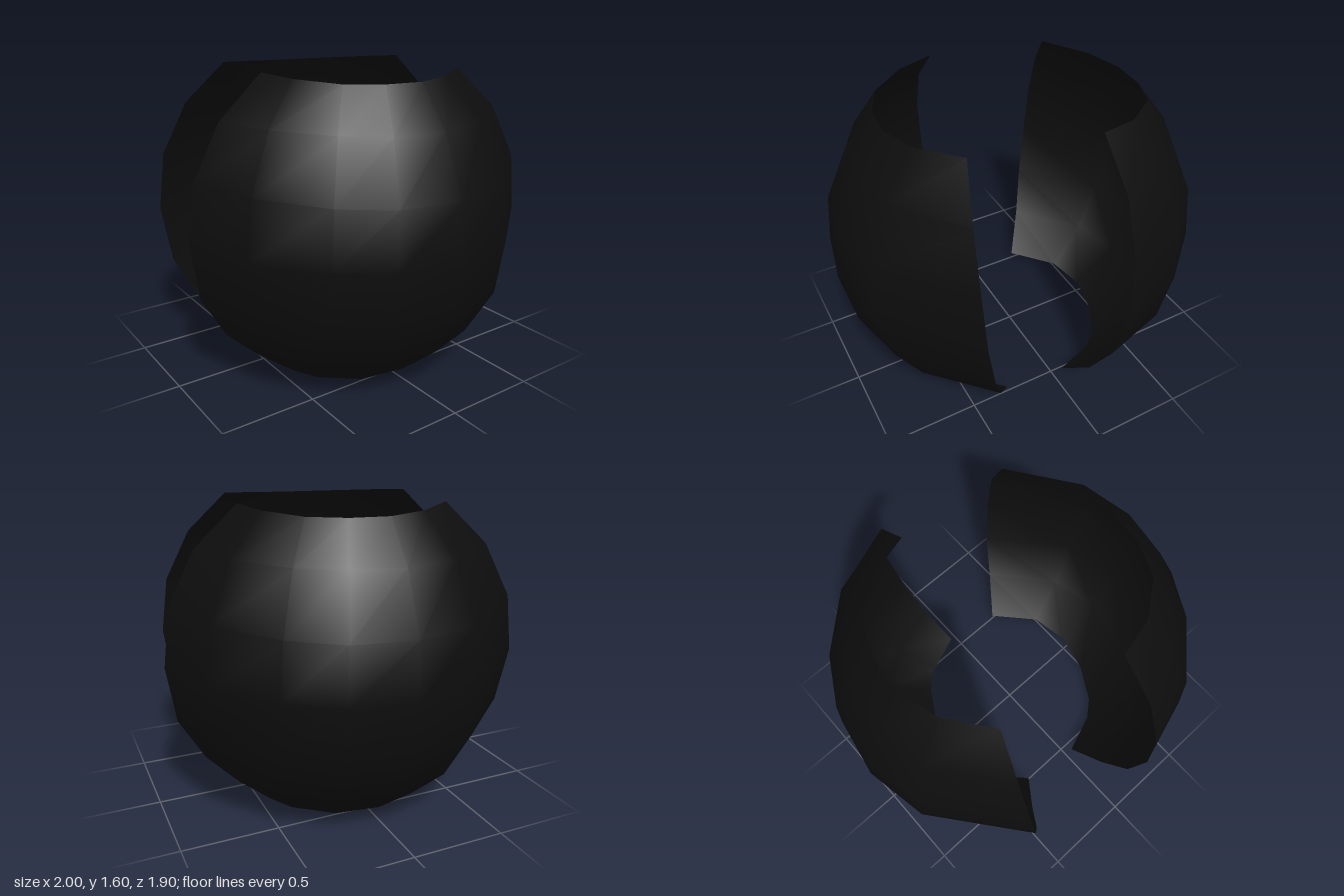
import * as THREE from 'three';

// Columns run from the front edge to the back edge of one panel.
// Angles are degrees from +x towards +z.
const EQUATOR = { angle: [82.1, 59.1, 36.3, 19.3, 0, -20.5, -55.7], radius: [0.957, 0.973, 0.98, 0.996, 1, 0.998, 0.993] };
const BOTTOM = {
  angle: [85.8, 59.9, 45.8, 20.2, -5.2, -29.2, -59.9],
  radius: [0.553, 0.538, 0.531, 0.522, 0.547, 0.573, 0.578],
  y: [0.057, 0.04, 0.02, 0, 0.01, 0.02, 0.035],
};
const TOP = {
  angle: [72.2, 53.3, 33, 16.3, -0.9, -19.8, -44.4],
  radius: [0.588, 0.637, 0.68, 0.677, 0.67, 0.648, 0.63],
  y: [1.6, 1.585, 1.57, 1.565, 1.565, 1.575, 1.593],
};

// Rows from bottom to top: relative radius, height, blend towards the rim angle
const ROWS = [
  { rim: BOTTOM, blend: 1 },
  { rim: BOTTOM, blend: 0.5, radius: 0.793, y: 0.22, lift: 0.036 },
  { rim: BOTTOM, blend: 0.35, radius: 0.943, y: 0.49, lift: 0.01 },
  { rim: BOTTOM, blend: 0, radius: 1, y: 0.79, lift: 0.015 },
  { rim: TOP, blend: 0.15, radius: 0.968, y: 1.065, lift: 0.055 },
  { rim: TOP, blend: 0.45, radius: 0.838, y: 1.36, lift: 0.03 },
  { rim: TOP, blend: 1 },
];

// Curved open panel lofted through the rows
function panelGeometry() {
  const n = EQUATOR.angle.length;
  const positions = [];
  const index = [];
  ROWS.forEach((row, k) => {
    for (let j = 0; j < n; j++) {
      const a = THREE.MathUtils.degToRad(THREE.MathUtils.lerp(EQUATOR.angle[j], row.rim.angle[j], row.blend));
      const r = row.radius ? row.radius * EQUATOR.radius[j] : row.rim.radius[j];
      // Rows rise slightly towards the two side edges
      const edge = Math.min(1, Math.abs(j - 3.5) / 3);
      const y = row.radius ? row.y + row.lift * edge * edge : row.rim.y[j];
      positions.push(r * Math.cos(a), y, r * Math.sin(a));
      if (j < n - 1 && k < ROWS.length - 1) {
        const p = k * n + j;
        index.push(p, p + 1, p + n + 1, p, p + n + 1, p + n);
      }
    }
  });
  const geometry = new THREE.BufferGeometry();
  geometry.setAttribute('position', new THREE.Float32BufferAttribute(positions, 3));
  geometry.setIndex(index);
  geometry.computeVertexNormals();
  return geometry;
}

export function createModel() {
  const group = new THREE.Group();
  group.name = 'sphericalShell';
  const black = new THREE.MeshStandardMaterial({ color: 0x0d0d0d, side: THREE.DoubleSide });
  black.name = 'black';

  // Two identical panels, half a turn apart
  const geometry = panelGeometry();
  ['leftPanel', 'rightPanel'].forEach((name, i) => {
    const panel = new THREE.Mesh(geometry, black);
    panel.name = name;
    panel.rotation.y = i * Math.PI;
    group.add(panel);
  });
  return group;
}
